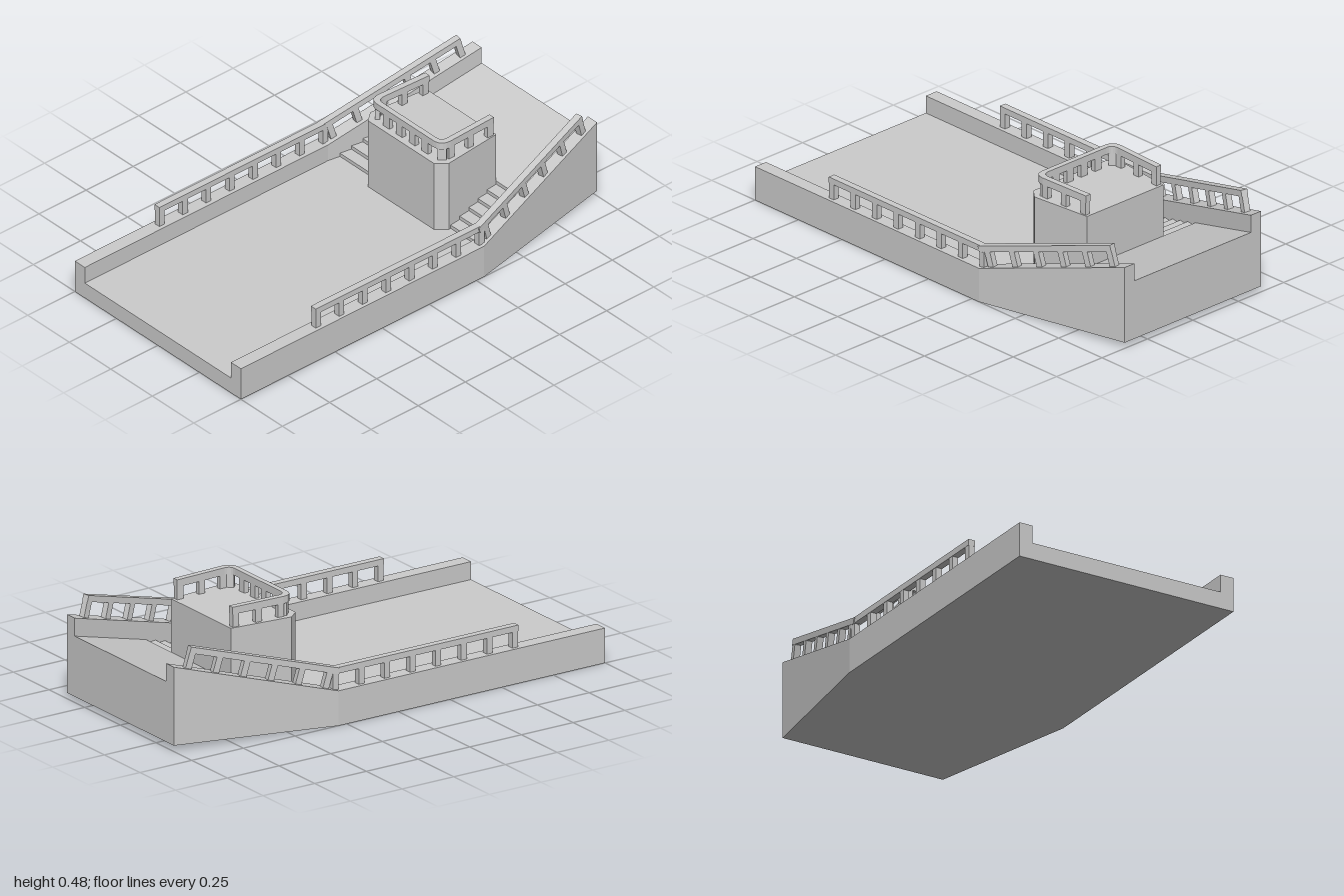
import * as THREE from 'three';

const material = new THREE.MeshStandardMaterial({ color: 0xcccccc, flatShading: true });

function addMesh(parent, name, geometry, x = 0, y = 0, z = 0) {
  const mesh = new THREE.Mesh(geometry, material);
  mesh.name = name;
  mesh.position.set(x, y, z);
  parent.add(mesh);
  return mesh;
}

// Hull dimensions along z: straight up to the bend, then narrowing and rising
const BEND = -0.29, STEP_START = -0.345, STEP_END = -0.61, STEPS = 6;
const aft = (z) => Math.max(0, (BEND - z) / (1 + BEND));
const mix = (a, b, t) => a + (b - a) * t;
const slopedDeck = (z) => mix(0.072, 0.281, aft(z));

function hullSection(z, deck) {
  const t = aft(z);
  const w = mix(0.5, 0.375, t), i = mix(0.44, 0.32, t);
  const keel = mix(0, 0.025, t), rim = mix(0.148, 0.357, t);
  return [[-w, keel], [w, keel], [w, rim], [i, rim], [i, deck], [-i, deck], [-i, rim], [-w, rim]]
    .map(([x, y]) => [x, y, z]);
}

function hullGeometry() {
  // Stations from bow to stern; each riser is a pair at the same z
  const sections = [hullSection(1, 0.072), hullSection(BEND, 0.072)];
  const top = slopedDeck(STEP_END);
  for (let k = 0; k < STEPS; k++) {
    const z = mix(STEP_START, STEP_END, k / (STEPS - 1));
    sections.push(hullSection(z, mix(0.072, top, k / STEPS)));
    sections.push(hullSection(z, mix(0.072, top, (k + 1) / STEPS)));
  }
  sections.push(hullSection(-1, slopedDeck(-1)));

  const positions = [];
  const quad = (a, b, c, d) => [a, b, c, a, c, d].forEach((p) => positions.push(...p));
  for (let s = 0; s < sections.length - 1; s++) {
    const f = sections[s], b = sections[s + 1];
    for (let k = 0; k < 8; k++) {
      const n = (k + 1) % 8;
      quad(f[k], b[k], b[n], f[n]);
    }
  }
  // End faces
  const first = sections[0], last = sections[sections.length - 1];
  for (const [a, b, c, d] of [[0, 1, 4, 5], [1, 2, 3, 4], [0, 5, 6, 7]]) {
    quad(first[a], first[b], first[c], first[d]);
    quad(last[d], last[c], last[b], last[a]);
  }
  const geometry = new THREE.BufferGeometry();
  geometry.setAttribute('position', new THREE.Float32BufferAttribute(positions, 3));
  geometry.computeVertexNormals();
  return geometry;
}

// Extrudes a plan outline (shape y = -z) upward
function extrudeUp(shape, height) {
  const options = { depth: height, bevelEnabled: false, curveSegments: 5 };
  return new THREE.ExtrudeGeometry(shape, options).rotateX(-Math.PI / 2);
}

// A straight run of railing whose posts stand square to the run
function railRun(name, start, end, postFractions) {
  const run = new THREE.Group();
  run.name = name;
  run.position.copy(start);
  run.lookAt(end);
  const length = start.distanceTo(end);
  addMesh(run, 'handrail', new THREE.BoxGeometry(0.03, 0.026, length), 0, 0.08, length / 2);
  const post = new THREE.BoxGeometry(0.027, 0.085, 0.027);
  for (const f of postFractions) addMesh(run, 'railPost', post, 0, 0.03, f * length);
  return run;
}

function createCabin() {
  const cabin = new THREE.Group();
  cabin.name = 'cabin';

  // Body with cut front corners, narrowing slightly aft
  const plan = new THREE.Shape([
    [-0.2, 0.29], [0.2, 0.29], [0.237, 0.335], [0.21, 0.61], [-0.21, 0.61], [-0.237, 0.335],
  ].map(([x, y]) => new THREE.Vector2(x, y)));
  addMesh(cabin, 'cabinBody', extrudeUp(plan, 0.332), 0, 0.06, 0);

  // U-shaped handrail, open at the back
  const band = new THREE.Shape();
  band.moveTo(-0.207, 0.6);
  band.lineTo(-0.217, 0.36);
  band.quadraticCurveTo(-0.217, 0.312, -0.168, 0.312);
  band.lineTo(0.168, 0.312);
  band.quadraticCurveTo(0.217, 0.312, 0.217, 0.36);
  band.lineTo(0.207, 0.6);
  band.lineTo(0.181, 0.6);
  band.lineTo(0.191, 0.365);
  band.quadraticCurveTo(0.191, 0.335, 0.16, 0.335);
  band.lineTo(-0.16, 0.335);
  band.quadraticCurveTo(-0.191, 0.335, -0.191, 0.365);
  band.lineTo(-0.181, 0.6);
  addMesh(cabin, 'cabinHandrail', extrudeUp(band, 0.031), 0, 0.447, 0);

  // Posts across the front and down both sides
  const frontPost = new THREE.BoxGeometry(0.037, 0.07, 0.02);
  const sidePost = new THREE.BoxGeometry(0.022, 0.07, 0.03);
  for (const s of [1, -1]) {
    for (const x of [0.039, 0.116]) addMesh(cabin, 'cabinRailPost', frontPost, s * x, 0.42, -0.324);
    const corner = addMesh(cabin, 'cabinRailPost', frontPost, s * 0.194, 0.42, -0.337);
    corner.rotation.y = s * Math.PI / 4;
    for (const [x, z] of [[0.203, -0.37], [0.199, -0.475], [0.195, -0.583]]) {
      addMesh(cabin, 'cabinRailPost', sidePost, s * x, 0.42, z);
    }
  }
  return cabin;
}

export function createModel() {
  const model = new THREE.Group();
  model.name = 'ferryBarge';
  addMesh(model, 'hull', hullGeometry());
  model.add(createCabin());

  // Railings along both bulwarks
  const forePosts = Array.from({ length: 8 }, (_, k) => 0.016 + k * 0.14);
  const aftPosts = Array.from({ length: 6 }, (_, k) => 0.06 + k * 0.184);
  for (const [side, s] of [['left', 1], ['right', -1]]) {
    const bow = new THREE.Vector3(s * 0.471, 0.148, 0.59);
    const bend = new THREE.Vector3(s * 0.471, 0.148, -0.295);
    const stern = new THREE.Vector3(s * 0.359, 0.337, -0.94);
    model.add(railRun(side + 'ForeRailing', bow, bend, forePosts));
    model.add(railRun(side + 'AftRailing', bend, stern, aftPosts));
  }
  return model;
}
